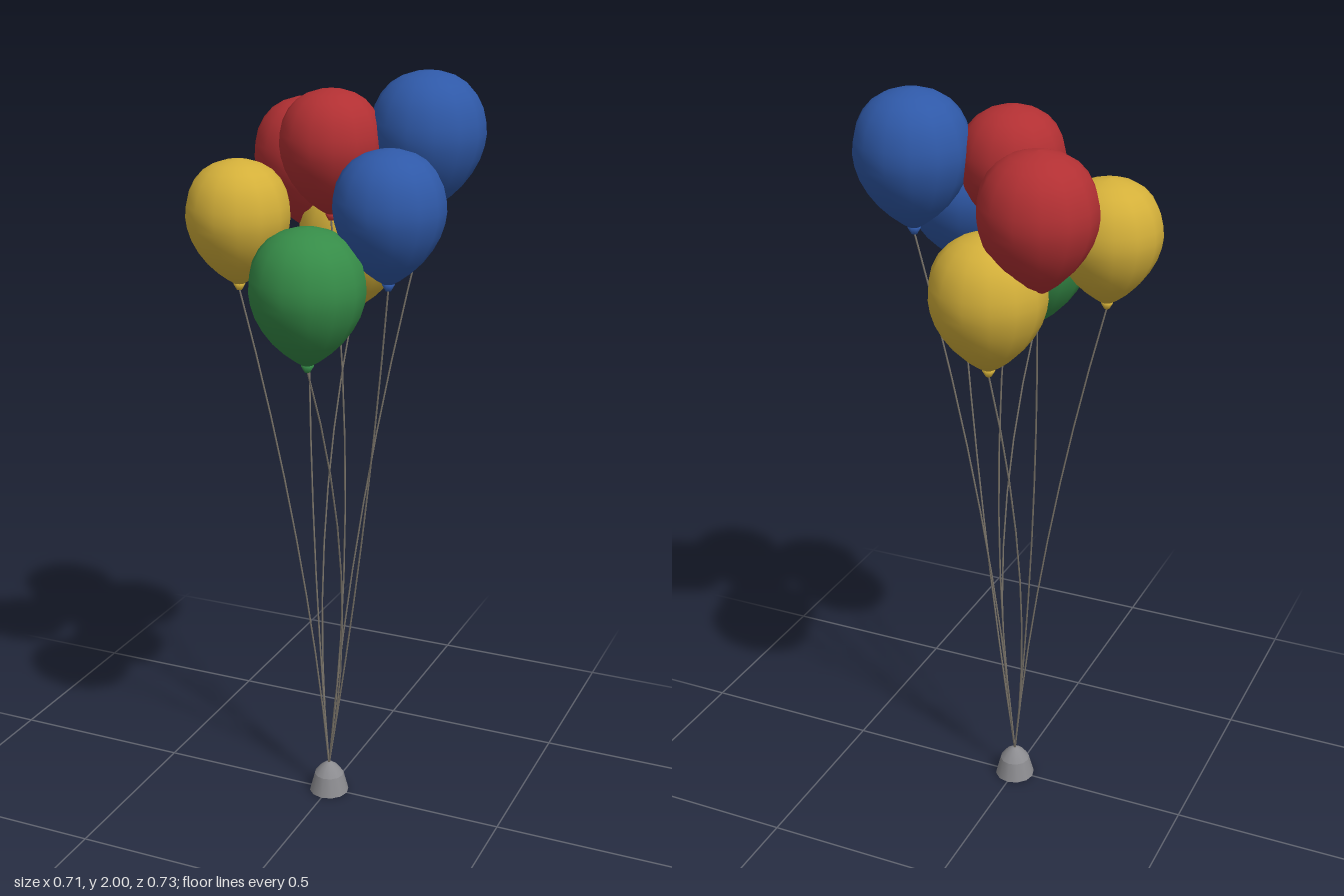
import * as THREE from 'three';

const mat = (name, color) => {
  const m = new THREE.MeshStandardMaterial({ color });
  m.name = name;
  return m;
};

export function createModel() {
  const group = new THREE.Group();
  const mats = {
    red: mat('red', 0xb23033),
    yellow: mat('yellow', 0xd4b03a),
    blue: mat('blue', 0x2f59a8),
    green: mat('green', 0x368c48),
    grey: mat('weightGrey', 0x8c8c90),
    string: mat('string', 0x7c766c),
  };
  const add = (parent, geometry, material, name) => {
    const mesh = new THREE.Mesh(geometry, material);
    mesh.name = name;
    parent.add(mesh);
    return mesh;
  };
  const lathe = (points, sides) =>
    new THREE.LatheGeometry(points.map(([x, y]) => new THREE.Vector2(x, y)), sides);

  // Unit balloon: egg profile smoothed through a few points, and a small tied knot
  const profile = new THREE.SplineCurve([
    [0.05, -1.27], [0.32, -1.1], [0.62, -0.82], [0.86, -0.46], [0.98, -0.1],
    [0.99, 0.2], [0.9, 0.56], [0.68, 0.86], [0.36, 1.04], [0, 1.1],
  ].map(([x, y]) => new THREE.Vector2(x, y)));
  const bodyGeometry = new THREE.LatheGeometry(profile.getPoints(14), 14);
  const knotGeometry = lathe([[0, -1.38], [0.05, -1.37], [0.12, -1.25], [0, -1.2]], 8);

  // colour, x, top y, z, radius, sideways bow of the string (x, z)
  const balloons = [
    ['red', -0.15, 1.91, -0.21, 0.146, -0.01, 0.02],
    ['yellow', -0.026, 1.70, -0.218, 0.147, -0.045, 0.01],
    ['blue', 0.214, 2.0, -0.125, 0.146, -0.03, 0.01],
    ['blue', 0.203, 1.84, 0.105, 0.14, 0.01, -0.01],
    ['red', -0.004, 1.957, -0.022, 0.133, 0.04, -0.01],
    ['yellow', -0.224, 1.782, 0.062, 0.136, 0.03, 0],
    ['green', 0.037, 1.66, 0.218, 0.146, 0.045, -0.045],
  ];
  const start = new THREE.Vector3(0, 0.08, 0);
  balloons.forEach(([colour, x, top, z, r, bowX, bowZ]) => {
    const balloon = new THREE.Group();
    balloon.name = colour + 'Balloon';
    balloon.position.set(x, top - 1.1 * r, z);
    balloon.scale.setScalar(r);
    add(balloon, bodyGeometry, mats[colour], 'balloonBody');
    add(balloon, knotGeometry, mats[colour], 'balloonKnot');
    group.add(balloon);

    // String bowing gently between the weight and the knot
    const end = new THREE.Vector3(x, top - 2.46 * r, z);
    const control = start.clone().lerp(end, 0.5).add(new THREE.Vector3(2 * bowX, 0, 2 * bowZ));
    const curve = new THREE.QuadraticBezierCurve3(start, control, end);
    add(group, new THREE.TubeGeometry(curve, 8, 0.0025, 5), mats.string, 'balloonString');
  });

  // Weight: tapered foot with a domed cap
  add(group, lathe([[0, 0], [0.055, 0]], 12), mats.grey, 'weightBase');
  add(group, lathe([[0.055, 0], [0.041, 0.053]], 12), mats.grey, 'weightFoot');
  add(group, lathe([[0.041, 0.053], [0.026, 0.073], [0.01, 0.085], [0, 0.087]], 12), mats.grey, 'weightCap');
  return group;
}
